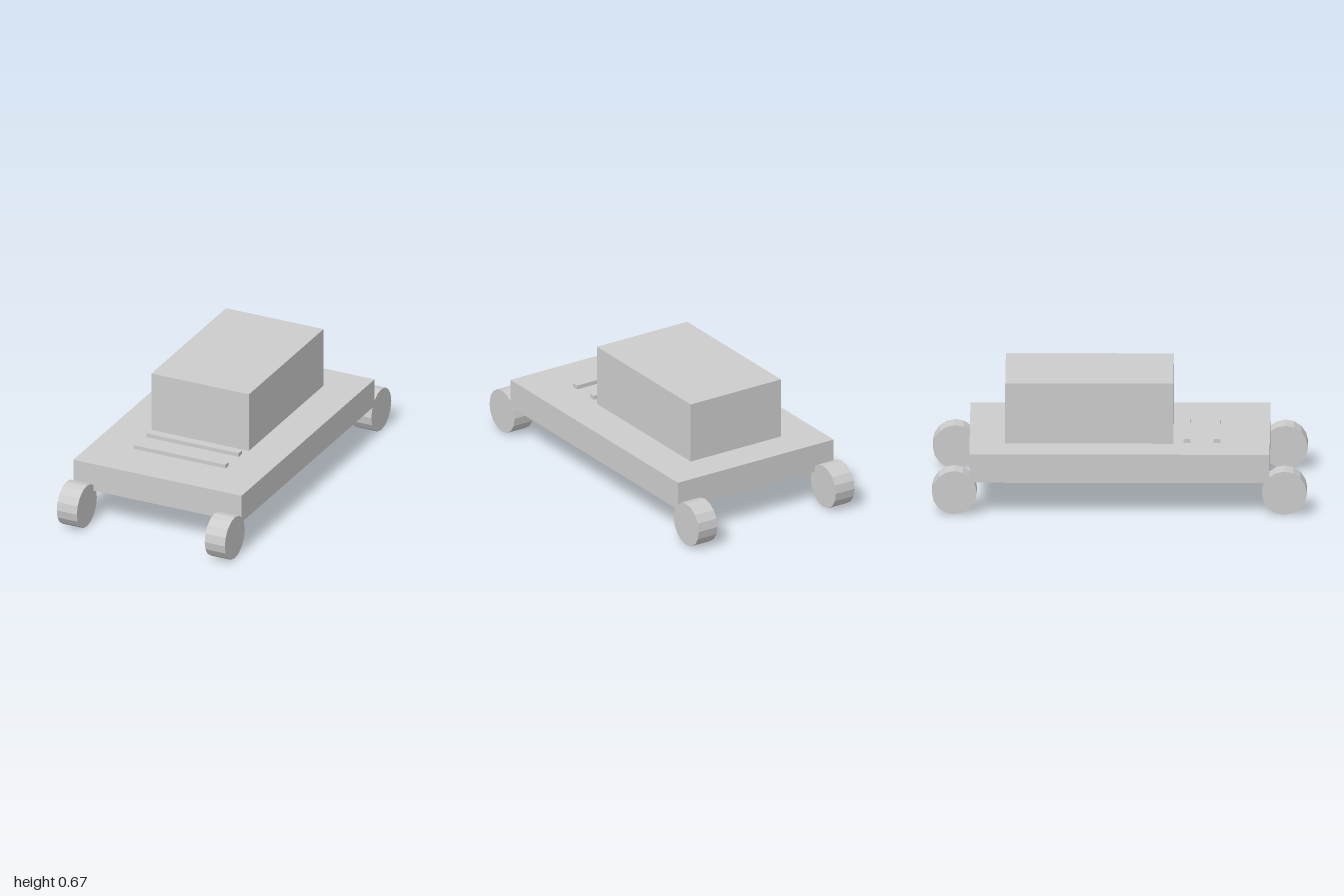
import * as THREE from 'three';

export function createModel() {
  const model = new THREE.Group();
  const grey = new THREE.MeshStandardMaterial({ color: 0xcccccc, flatShading: true });
  grey.name = 'light grey';

  const add = (name, geometry, x, y, z) => {
    const mesh = new THREE.Mesh(geometry, grey);
    mesh.name = name;
    mesh.position.set(x, y, z);
    model.add(mesh);
  };

  // Flat chassis slab and the cabin block set towards the back
  add('chassis', new THREE.BoxGeometry(1, 0.157, 1.6), 0, 0.2545, 0);
  add('cabin', new THREE.BoxGeometry(0.58, 0.334, 0.896), 0, 0.5, -0.162);

  // Two thin bars across the deck in front of the cabin
  for (const z of [0.358, 0.518]) {
    add('deckBar', new THREE.BoxGeometry(0.548, 0.022, 0.037), 0, 0.344, z);
  }

  // Four wheels at the corners, axles along x
  const wheel = new THREE.CylinderGeometry(0.12, 0.12, 0.12, 16).rotateZ(Math.PI / 2);
  for (const [end, z] of [['front', 0.88], ['back', -0.88]]) {
    for (const [side, x] of [['Left', 0.44], ['Right', -0.44]]) {
      add(`${end}${side}Wheel`, wheel, x, 0.12, z);
    }
  }
  return model;
}
